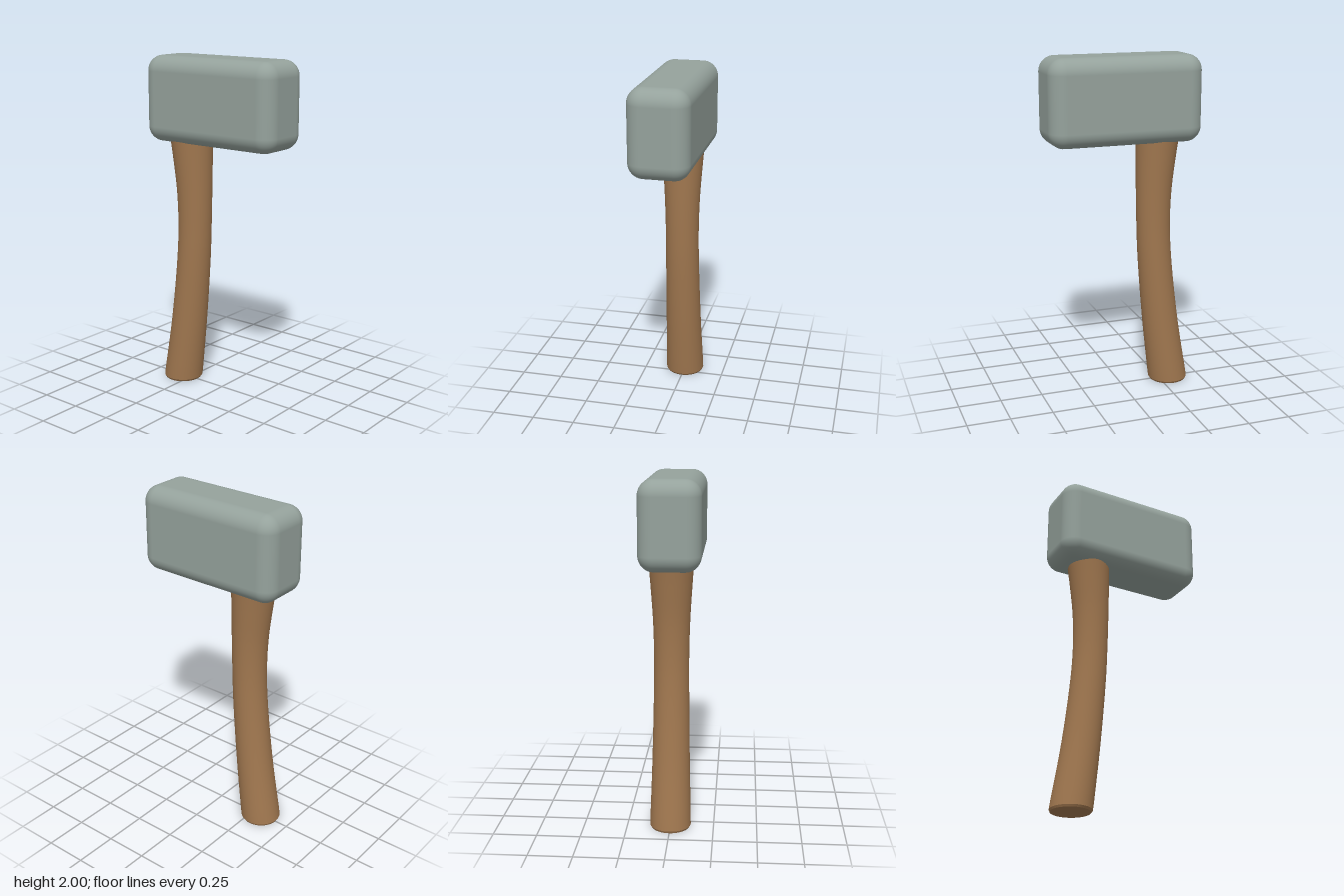
import * as THREE from 'three';
import { RoundedBoxGeometry } from 'three/addons/geometries/RoundedBoxGeometry.js';
import { toCreasedNormals } from 'three/addons/utils/BufferGeometryUtils.js';

const stone = new THREE.MeshStandardMaterial({ name: 'greyStone', color: 0x95a29c });
const wood = new THREE.MeshStandardMaterial({ name: 'brownWood', color: 0xa0774f });

// Smooth curve through rows of [centre x, y, radius]
const handleCurve = new THREE.CatmullRomCurve3([
  [-0.308, 0, 0.119], [-0.253, 0.4, 0.108], [-0.214, 0.8, 0.101], [-0.205, 1.0, 0.1],
  [-0.206, 1.2, 0.105], [-0.217, 1.4, 0.117], [-0.228, 1.55, 0.128],
].map(p => new THREE.Vector3(...p)));

// Lathe with a waisted profile, bent sideways along the curve
function handleGeometry() {
  const rings = handleCurve.getPoints(40);
  const top = rings[rings.length - 1];
  const profile = [
    new THREE.Vector2(0, 0),
    new THREE.Vector2(0.111, 0),
    new THREE.Vector2(0.118, 0.012),
    ...rings.filter(p => p.y > 0.02).map(p => new THREE.Vector2(p.z, p.y)),
    new THREE.Vector2(0, top.y),
  ];
  const geometry = new THREE.LatheGeometry(profile, 40);
  const pos = geometry.attributes.position;
  const centreAt = y => {
    const i = Math.max(1, rings.findIndex(p => p.y >= y - 1e-5));
    const a = rings[i - 1], b = rings[i];
    return THREE.MathUtils.mapLinear(y, a.y, b.y, a.x, b.x);
  };
  for (let i = 0; i < pos.count; i++) pos.setX(i, pos.getX(i) + centreAt(pos.getY(i)));
  return toCreasedNormals(geometry, 0.5);
}

export function createModel() {
  const hammer = new THREE.Group();
  hammer.name = 'hammer';

  // Rounded block head
  const head = new THREE.Mesh(new RoundedBoxGeometry(0.905, 0.5, 0.348, 8, 0.09), stone);
  head.name = 'head';
  head.position.set(0, 1.75, 0);

  // Curved handle, set into the underside of the head
  const handle = new THREE.Mesh(handleGeometry(), wood);
  handle.name = 'handle';

  hammer.add(head, handle);
  return hammer;
}
